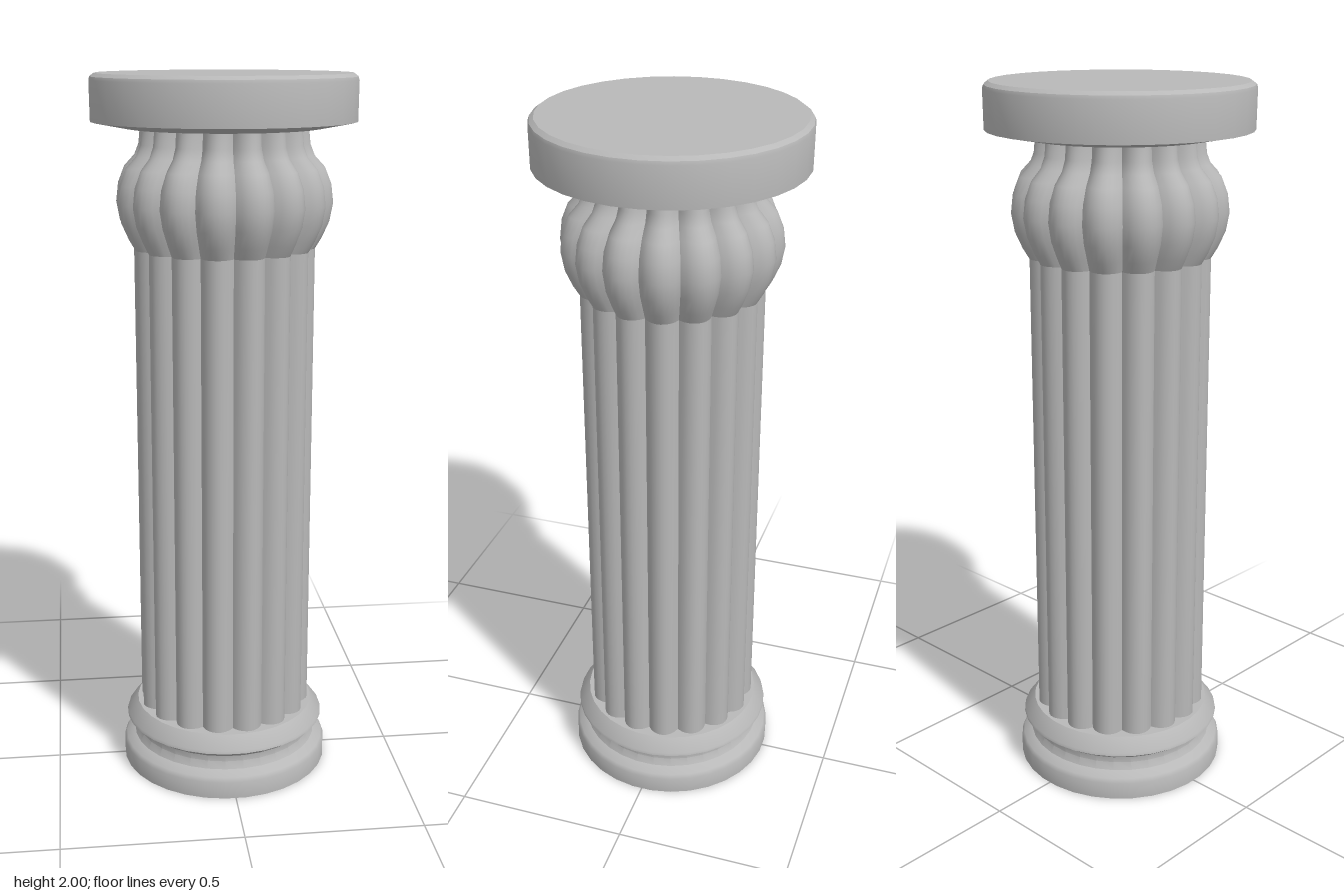
import * as THREE from 'three';
import { toCreasedNormals } from 'three/addons/utils/BufferGeometryUtils.js';

const SIDES = 32, FLUTES = 16, STEPS = 8;

// Turned part from [radius, height] pairs, listed bottom to top
function turned(name, profile, material) {
  const points = profile.map(([r, y]) => new THREE.Vector2(r, y));
  const lathe = new THREE.LatheGeometry(points, SIDES, Math.PI / SIDES);
  const mesh = new THREE.Mesh(toCreasedNormals(lathe, 0.6), material);
  mesh.name = name;
  return mesh;
}

// Lobed part from [ridge radius, groove radius, height] rings, bottom to top
function lobed(name, rings, material) {
  const around = FLUTES * STEPS, position = [], index = [];
  rings.forEach(([ridge, groove, y], i) => {
    for (let j = 0; j <= around; j++) {
      const a = (j / around) * Math.PI * 2;
      const swell = Math.pow(Math.abs(Math.sin(a * FLUTES / 2)), 0.8);
      const r = groove + (ridge - groove) * swell;
      position.push(r * Math.sin(a), y, r * Math.cos(a));
      if (i === 0 || j === around) continue;
      const d = i * (around + 1) + j, p = d - around - 1;
      index.push(p, p + 1, d + 1, p, d + 1, d);
    }
  });
  const geometry = new THREE.BufferGeometry();
  geometry.setAttribute('position', new THREE.Float32BufferAttribute(position, 3));
  geometry.setIndex(index);
  const mesh = new THREE.Mesh(toCreasedNormals(geometry, 0.7), material);
  mesh.name = name;
  return mesh;
}

export function createModel() {
  const stone = new THREE.MeshStandardMaterial({ color: 0xb8b8b8 });
  stone.name = 'grey stone';
  const column = new THREE.Group();
  column.name = 'column';

  // Moulded base with a hollow between two rings
  column.add(turned('base', [
    [0, 0], [0.302, 0], [0.302, 0.05], [0.295, 0.062], [0.27, 0.075], [0.26, 0.095],
    [0.262, 0.113], [0.292, 0.135], [0.29, 0.143], [0.26, 0.18], [0, 0.18],
  ], stone));

  // Fluted shaft
  column.add(lobed('shaft', [[0.25, 0.222, 0.17], [0.25, 0.222, 1.535]], stone));

  // Swelling lobed capital narrowing to a neck
  column.add(lobed('capital', [
    [0.25, 0.222, 1.535], [0.268, 0.236, 1.565], [0.288, 0.257, 1.61], [0.297, 0.268, 1.66],
    [0.291, 0.261, 1.71], [0.273, 0.238, 1.755], [0.245, 0.212, 1.785],
    [0.233, 0.2, 1.815], [0.228, 0.196, 1.865],
  ], stone));

  // Round slab on top with a softened rim
  column.add(turned('topSlab', [
    [0, 1.855], [0.27, 1.858], [0.36, 1.875], [0.361, 1.982], [0.358, 1.991], [0.346, 2], [0, 2],
  ], stone));

  return column;
}
